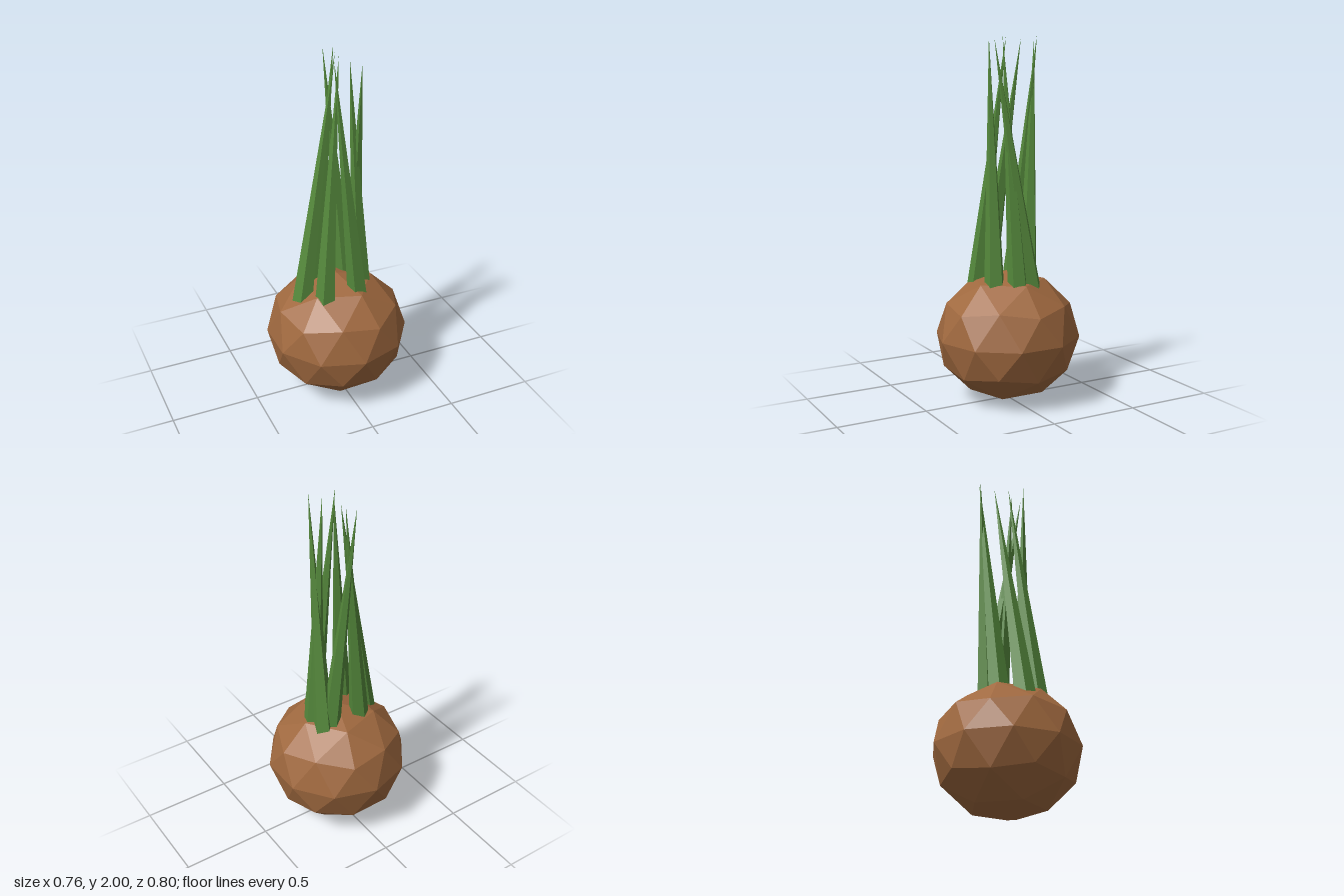
import * as THREE from 'three';

const brown = new THREE.MeshStandardMaterial({ name: 'bulbBrown', color: 0xa0693f, flatShading: true });
const green = new THREE.MeshStandardMaterial({ name: 'leafGreen', color: 0x55893c, flatShading: true });

// Faceted bulb: icosphere turned so that a five-sided corner points straight up
function makeBulb() {
  const geometry = new THREE.IcosahedronGeometry(1, 1);
  geometry.rotateZ(-Math.atan(2 / (1 + Math.sqrt(5))));
  geometry.scale(0.4, 0.362, 0.4);
  geometry.translate(0, 0.362, 0);
  const bulb = new THREE.Mesh(geometry, brown);
  bulb.name = 'bulb';
  return bulb;
}

// Five-sided spike leaning from its foot on the bulb to its tip
const SURFACE_Y = 0.66, ROOT_Y = 0.56, FOOT_RADIUS = 0.057;

function makeLeaf([footX, footZ, tipX, tipZ, tipY]) {
  const height = tipY - ROOT_Y;
  const radius = FOOT_RADIUS * height / (tipY - SURFACE_Y);
  const geometry = new THREE.ConeGeometry(radius, height, 5, 1);
  geometry.rotateY(Math.PI);
  geometry.translate(0, ROOT_Y + height / 2, 0);
  const pos = geometry.attributes.position;
  for (let i = 0; i < pos.count; i++) {
    const t = (pos.getY(i) - SURFACE_Y) / (tipY - SURFACE_Y);
    pos.setX(i, pos.getX(i) + footX + (tipX - footX) * t);
    pos.setZ(i, pos.getZ(i) + footZ + (tipZ - footZ) * t);
  }
  geometry.computeVertexNormals();
  return new THREE.Mesh(geometry, green);
}

// Foot x, z; tip x, z; tip height
const LEAVES = [
  [-0.095, -0.085, 0.05, -0.153, 2.0],
  [-0.2, 0.01, 0.022, -0.07, 1.98],
  [-0.118, 0.122, 0.007, 0.013, 1.99],
  [0.075, 0.12, -0.05, 0.085, 1.99],
  [0.145, 0.015, 0.048, 0.055, 1.99],
  [0.135, -0.07, 0.085, 0.125, 1.98],
  [0.09, -0.075, -0.005, -0.168, 1.99],
];

export function createModel() {
  const model = new THREE.Group();
  model.name = 'sproutingBulb';
  model.add(makeBulb());

  const leaves = new THREE.Group();
  leaves.name = 'leaves';
  LEAVES.forEach((spec, i) => {
    const leaf = makeLeaf(spec);
    leaf.name = `leaf${i + 1}`;
    leaves.add(leaf);
  });
  model.add(leaves);
  return model;
}
